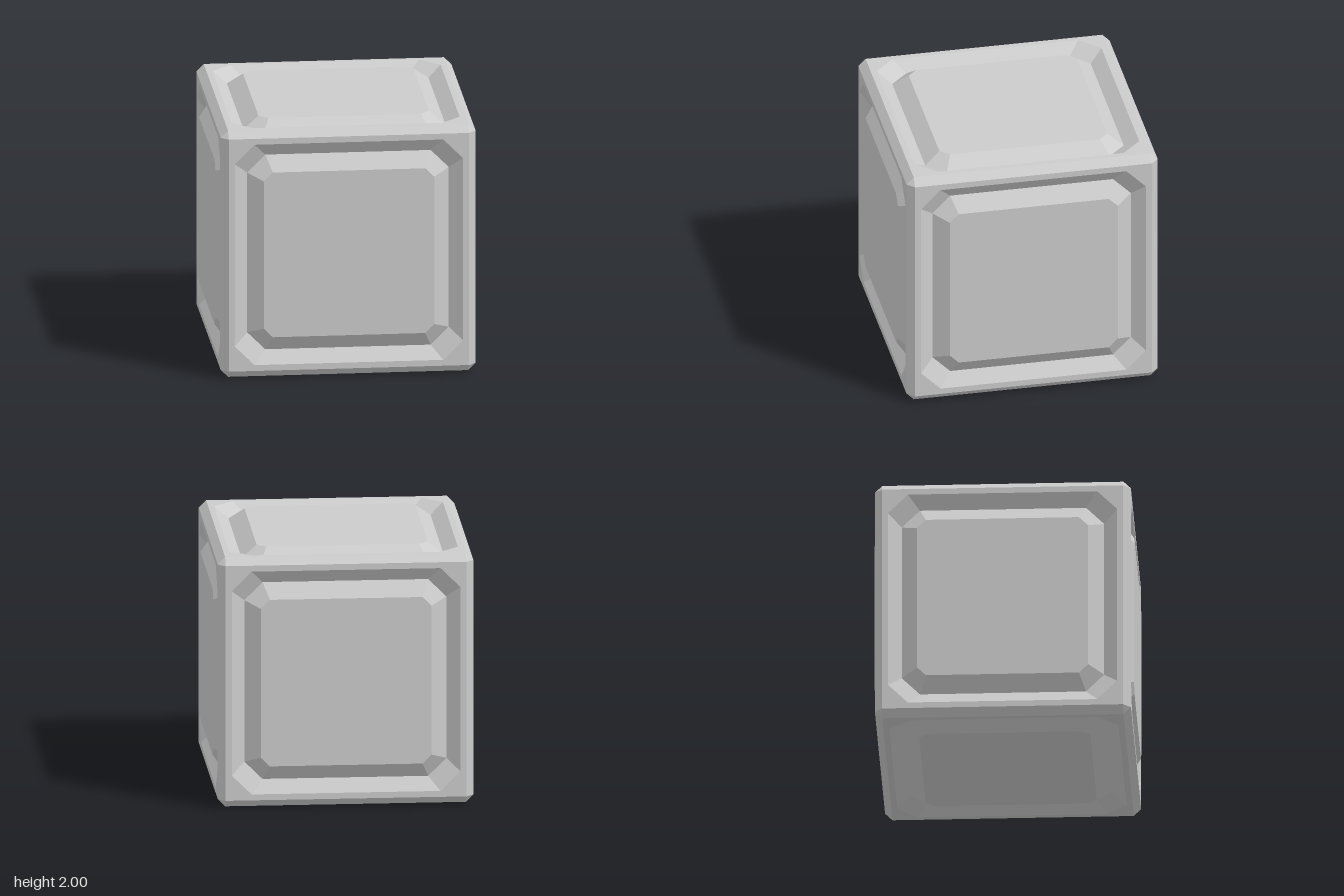
import * as THREE from 'three';

const FACE = 0.987;   // distance of the frame surface from the cube centre
const EDGE = 0.93;    // where the frame meets the edge bevel

// Flat-shaded geometry from polygons (arrays of Vector3), each a convex fan
function facets(polygons) {
  const pos = [];
  for (const p of polygons) {
    for (let i = 1; i < p.length - 1; i++) {
      for (const v of [p[0], p[i], p[i + 1]]) pos.push(v.x, v.y, v.z);
    }
  }
  const g = new THREE.BufferGeometry();
  g.setAttribute('position', new THREE.Float32BufferAttribute(pos, 3));
  g.computeVertexNormals();
  return g;
}

// Square loop with cut corners, anticlockwise as seen from +z
function loop(half, cut, z) {
  return [[half, -cut], [half, cut], [cut, half], [-cut, half],
    [-half, cut], [-half, -cut], [-cut, -half], [cut, -half]]
    .map(([x, y]) => new THREE.Vector3(x, y, z));
}

// Band of quads between an outer and an inner loop
function band(outer, inner) {
  return outer.map((p, i) => {
    const j = (i + 1) % outer.length;
    const quad = [p, outer[j], inner[j], inner[i]];
    return p.equals(outer[j]) ? [p, inner[j], inner[i]] : quad;
  });
}

// Turn a polygon so that it faces away from the cube centre
function outward(p) {
  const n = p[1].clone().sub(p[0]).cross(p[2].clone().sub(p[0]));
  return n.dot(p[0]) < 0 ? p.slice().reverse() : p;
}

export function createModel() {
  const model = new THREE.Group();
  model.name = 'panelledCube';
  const cube = new THREE.Group();
  cube.name = 'cube';
  cube.position.y = 1;
  model.add(cube);
  const material = new THREE.MeshStandardMaterial({ color: 0xcccccc, flatShading: true });

  // Profile of one side: frame, groove and raised panel
  const corner = loop(EDGE, EDGE, FACE);
  const rim = loop(0.883, 0.73, FACE);
  const floor = loop(0.78, 0.64, 0.91);
  const top = loop(0.66, 0.59, 1);
  const parts = {
    frame: facets(band(corner, rim)),
    grooveWall: facets(band(rim, floor)),
    raisedPanel: facets([...band(floor, top), top]),
  };

  // The same side repeated on all six faces
  const H = Math.PI / 2;
  const sides = {
    front: [0, 0], left: [0, H], back: [0, 2 * H], right: [0, -H], top: [-H, 0], bottom: [H, 0],
  };
  for (const [name, [rx, ry]] of Object.entries(sides)) {
    const side = new THREE.Group();
    side.name = name + 'Side';
    side.rotation.set(rx, ry, 0);
    for (const [part, geometry] of Object.entries(parts)) {
      const mesh = new THREE.Mesh(geometry, material);
      mesh.name = part;
      side.add(mesh);
    }
    cube.add(side);
  }

  // Bevels along the twelve edges and across the eight corners
  const edges = [], corners = [];
  const point = (axis, a, b, c) => {
    const v = new THREE.Vector3();
    [a, b, c].forEach((value, k) => v.setComponent((axis + k) % 3, value));
    return v;
  };
  for (const s of [-1, 1]) {
    for (const t of [-1, 1]) {
      for (let axis = 0; axis < 3; axis++) {
        edges.push(outward([
          point(axis, -EDGE, s * FACE, t * EDGE), point(axis, EDGE, s * FACE, t * EDGE),
          point(axis, EDGE, s * EDGE, t * FACE), point(axis, -EDGE, s * EDGE, t * FACE),
        ]));
      }
      for (const u of [-1, 1]) {
        corners.push(outward([
          point(0, s * FACE, t * EDGE, u * EDGE),
          point(0, s * EDGE, t * FACE, u * EDGE),
          point(0, s * EDGE, t * EDGE, u * FACE),
        ]));
      }
    }
  }
  for (const [name, polygons] of [['edgeBevels', edges], ['cornerBevels', corners]]) {
    const mesh = new THREE.Mesh(facets(polygons), material);
    mesh.name = name;
    cube.add(mesh);
  }
  return model;
}
